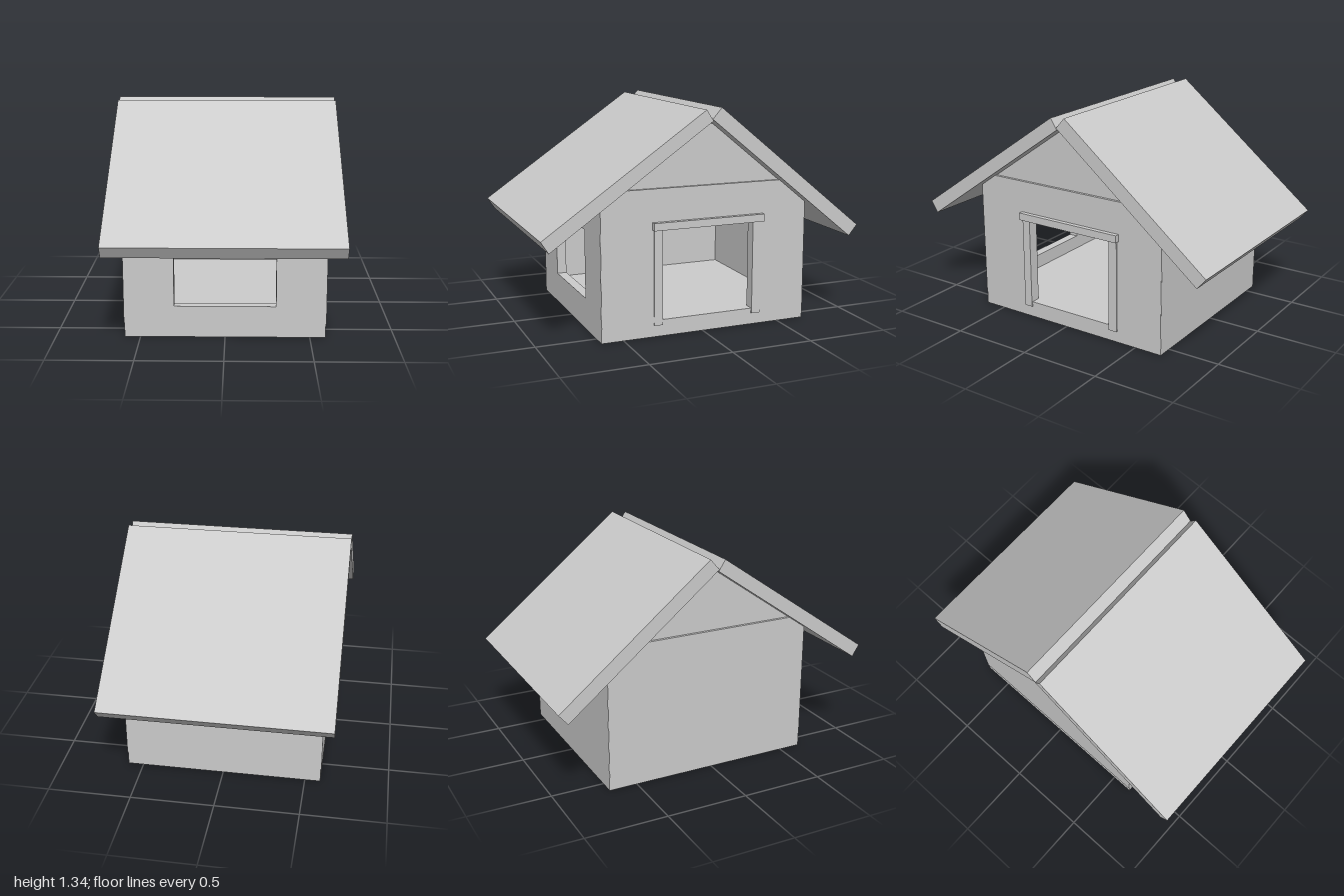
import * as THREE from 'three';

const material = new THREE.MeshStandardMaterial({ color: 0xcccccc, flatShading: true });

// Underside heights of the two unequal roof slopes
const frontRoofY = z => 0.58 + (0.955 - z) * 0.697;
const backRoofY = z => 0.515 + (z + 0.945) * 0.812;
const frontRoofZ = y => 0.955 - (y - 0.58) / 0.697;
const backRoofZ = y => -0.945 + (y - 0.515) / 0.812;

// Extrudes a [z, y] outline along x from x0 to x1
function prism(name, outline, x0, x1, hole) {
  const toPoints = list => list.map(([z, y]) => new THREE.Vector2(z, y));
  const shape = new THREE.Shape(toPoints(outline));
  if (hole) shape.holes.push(new THREE.Path(toPoints(hole)));
  const geometry = new THREE.ExtrudeGeometry(shape, { depth: x1 - x0, bevelEnabled: false });
  geometry.rotateY(-Math.PI / 2).translate(x1, 0, 0);
  const mesh = new THREE.Mesh(geometry, material);
  mesh.name = name;
  return mesh;
}

const rect = (z0, z1, y0, y1) => [[z0, y0], [z1, y0], [z1, y1], [z0, y1]];

export function createModel() {
  const house = new THREE.Group();
  house.name = 'kennel';
  const front = 0.635, back = -0.675, wall = 0.06, half = 0.593, eaveY = 0.88;

  // Floor slab
  house.add(prism('floor', rect(back, front, 0, 0.1), -half, half));

  // Front wall around a wide window
  const windowHalf = 0.3, sillY = 0.19, headY = 0.61, inner = front - wall;
  const frontTop = [[front, frontRoofY(front)], [inner, frontRoofY(inner)]];
  house.add(prism('frontWallSill', rect(inner, front, 0.1, sillY), -half, half));
  house.add(prism('frontWallHead', [[inner, headY], [front, headY], ...frontTop], -windowHalf, windowHalf));
  for (const [x0, x1] of [[-half, -windowHalf], [windowHalf, half]]) {
    house.add(prism('frontWallPier', [[inner, sillY], [front, sillY], ...frontTop], x0, x1));
  }

  // Solid back wall with its top cut to the roof slope
  house.add(prism('backWall', [
    [back, 0.1], [back + wall, 0.1],
    [back + wall, backRoofY(back + wall)], [back, backRoofY(back)],
  ], -half, half));

  // Side walls, the left one with the doorway
  const sideOutline = [
    [back + 0.001, 0.085], [front - 0.001, 0.085], [front - 0.001, frontRoofY(front)],
    [frontRoofZ(eaveY), eaveY], [backRoofZ(eaveY), eaveY], [back + 0.001, backRoofY(back)],
  ];
  const doorway = rect(-0.32, 0.26, 0.101, 0.64);
  house.add(prism('leftWall', sideOutline, 0.537, 0.597, doorway));
  house.add(prism('rightWall', sideOutline, -0.597, -0.537));

  // Gable panels, set back from the walls below
  const peakY = 1.235;
  const gable = [
    [backRoofZ(eaveY), eaveY], [frontRoofZ(eaveY), eaveY],
    [frontRoofZ(peakY), peakY], [backRoofZ(peakY), peakY],
  ];
  house.add(prism('leftGable', gable, 0.537, 0.58));
  house.add(prism('rightGable', gable, -0.58, -0.537));

  // Door trim
  house.add(prism('doorPost', rect(0.26, 0.312, 0.07, 0.64), 0.59, 0.604));
  house.add(prism('doorPost', rect(-0.375, -0.32, 0.07, 0.64), 0.59, 0.604));
  house.add(prism('doorHeader', rect(-0.385, 0.32, 0.64, 0.685), 0.59, 0.625));

  // Roof slabs, open by a sliver at the ridge
  house.add(prism('frontRoof', [[0.955, 0.58], [1, 0.65], [0.022, 1.325], [-0.02, 1.26]], -0.677, 0.677));
  house.add(prism('backRoof', [[-0.945, 0.515], [-0.015, 1.27], [-0.072, 1.335], [-1, 0.58]], -0.677, 0.677));

  return house;
}
